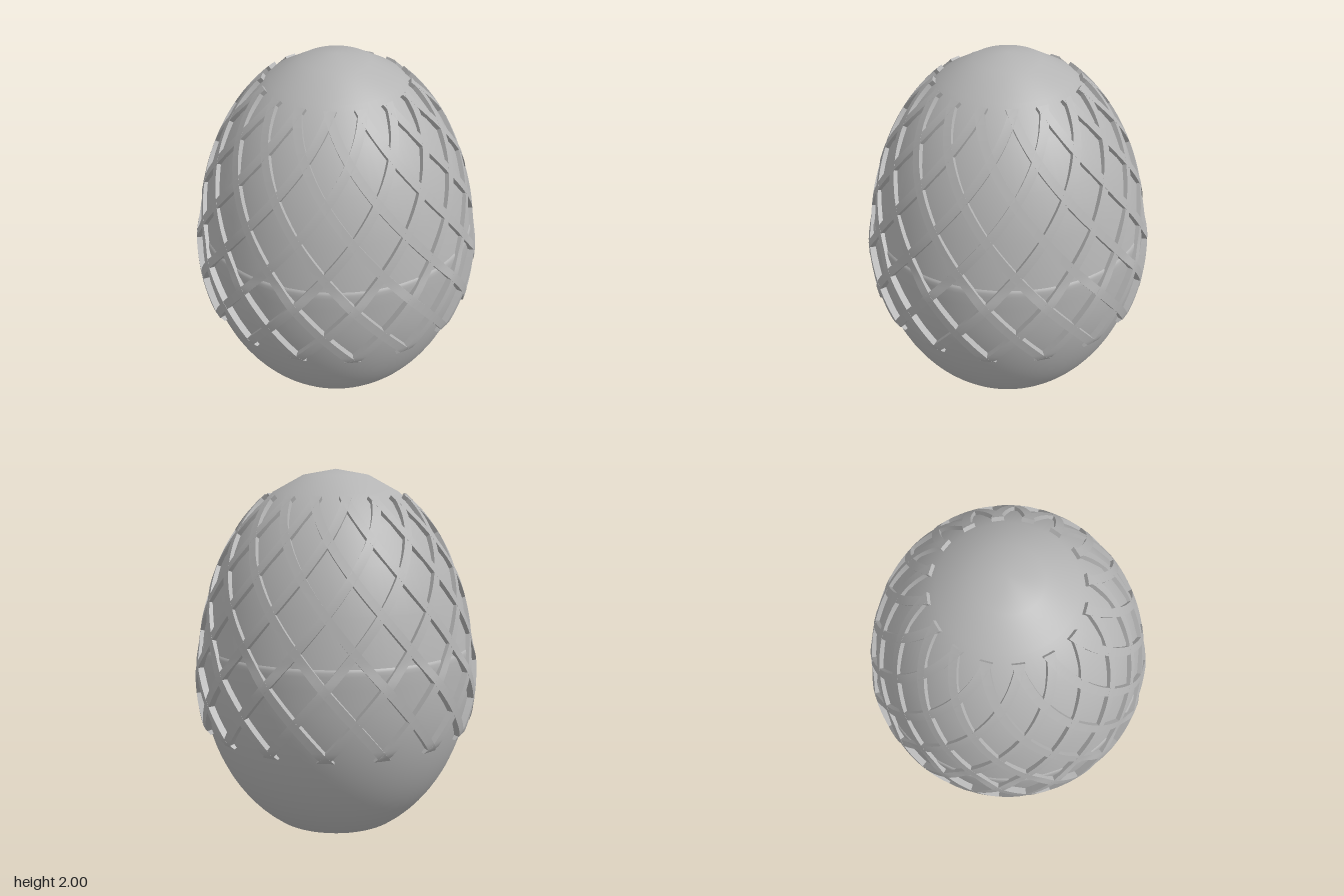
import * as THREE from 'three';
import { toCreasedNormals } from 'three/addons/utils/BufferGeometryUtils.js';

const R = 0.775, MID = 0.85, LOW = 0.976, HIGH = 1.15; // egg: widest radius, its height, half-heights
const SEAM = 1.04, STRANDS = 16;
const half = (y) => (y < MID ? LOW : HIGH);
const radius = (y) => R * Math.sqrt(Math.max(0, 1 - ((y - MID) / half(y)) ** 2));

// Outward slope of the shell at height y, as [radial, vertical]
function normalAt(y) {
  const n = new THREE.Vector2(radius(y) / R ** 2, (y - MID) / half(y) ** 2);
  return n.normalize();
}

// Height of the lattice above the shell
function relief(y) {
  const s = THREE.MathUtils.smoothstep;
  return 0.015 + 0.02 * s(y, 0.54, 0.59) - 0.017 * s(y, 0.92, 1.06);
}

function lathe(points) {
  const geo = new THREE.LatheGeometry(points.map(([r, y]) => new THREE.Vector2(r, y)), 72);
  return toCreasedNormals(geo, 0.55);
}

// One rib: a rectangular section swept diagonally round the egg
function strandGeometry(start, dir) {
  const y0 = 0.55, y1 = 1.85, steps = 40, width = 0.045;
  const turn = (Math.PI / 16) / 0.18; // radians per unit of height
  const pos = [], index = [];
  for (let j = 0; j <= steps; j++) {
    const y = y0 + (y1 - y0) * j / steps;
    const r = radius(y), n = normalAt(y);
    const across = r * turn, along = 1 / n.x;
    const spread = (width / 2) * Math.hypot(across, along) / along / r;
    const mid = start + dir * turn * (y - 0.57);
    const corner = (side, lift) => {
      const a = mid + side * spread, q = r + n.x * lift;
      pos.push(q * Math.sin(a), y + n.y * lift, q * Math.cos(a));
    };
    corner(-1, -0.02);
    corner(-1, relief(y));
    corner(1, relief(y));
    corner(1, -0.02);
    if (j === steps) continue;
    for (let k = 0; k < 4; k++) {
      const a = j * 4 + k, b = j * 4 + (k + 1) % 4;
      index.push(a, b, b + 4, a, b + 4, a + 4);
    }
  }
  const e = steps * 4;
  index.push(0, 2, 1, 0, 3, 2, e, e + 1, e + 2, e, e + 2, e + 3);
  const geo = new THREE.BufferGeometry();
  geo.setAttribute('position', new THREE.Float32BufferAttribute(pos, 3));
  geo.setIndex(index);
  return toCreasedNormals(geo, 0.6);
}

export function createModel() {
  const model = new THREE.Group();
  model.name = 'latticeEgg';
  const grey = new THREE.MeshStandardMaterial({ color: 0xb4b4b4 });
  grey.name = 'grey';
  const add = (parent, geo, name) => {
    const mesh = new THREE.Mesh(geo, grey);
    mesh.name = name;
    parent.add(mesh);
  };

  // Lower shell with flat foot and a rounded rim at the seam
  const lower = [[0, 0]];
  for (let i = 0; i <= 20; i++) {
    const y = MID * i / 20;
    lower.push([radius(y), y]);
  }
  lower.push([0.776, 0.93], [0.775, 1.0], [0.773, 1.02], [0.769, 1.032], [0.76, SEAM], [0.74, SEAM]);
  add(model, lathe(lower), 'lowerShell');

  // Upper shell, ending in a blunt tip
  const upper = [];
  const t0 = Math.asin((SEAM - 0.01 - MID) / HIGH);
  for (let i = 0; i <= 6; i++) {
    const t = t0 + (Math.PI / 2 - t0) * i / 6;
    upper.push([i === 6 ? 0 : R * Math.cos(t), MID + HIGH * Math.sin(t)]);
  }
  add(model, lathe(upper), 'upperShell');

  // Crossing ribs, wound both ways
  const lattice = new THREE.Group();
  lattice.name = 'lattice';
  for (let i = 0; i < STRANDS; i++) {
    const a = i * 2 * Math.PI / STRANDS;
    add(lattice, strandGeometry(a, 1), 'leftWoundRib');
    add(lattice, strandGeometry(a, -1), 'rightWoundRib');
  }
  model.add(lattice);
  return model;
}
